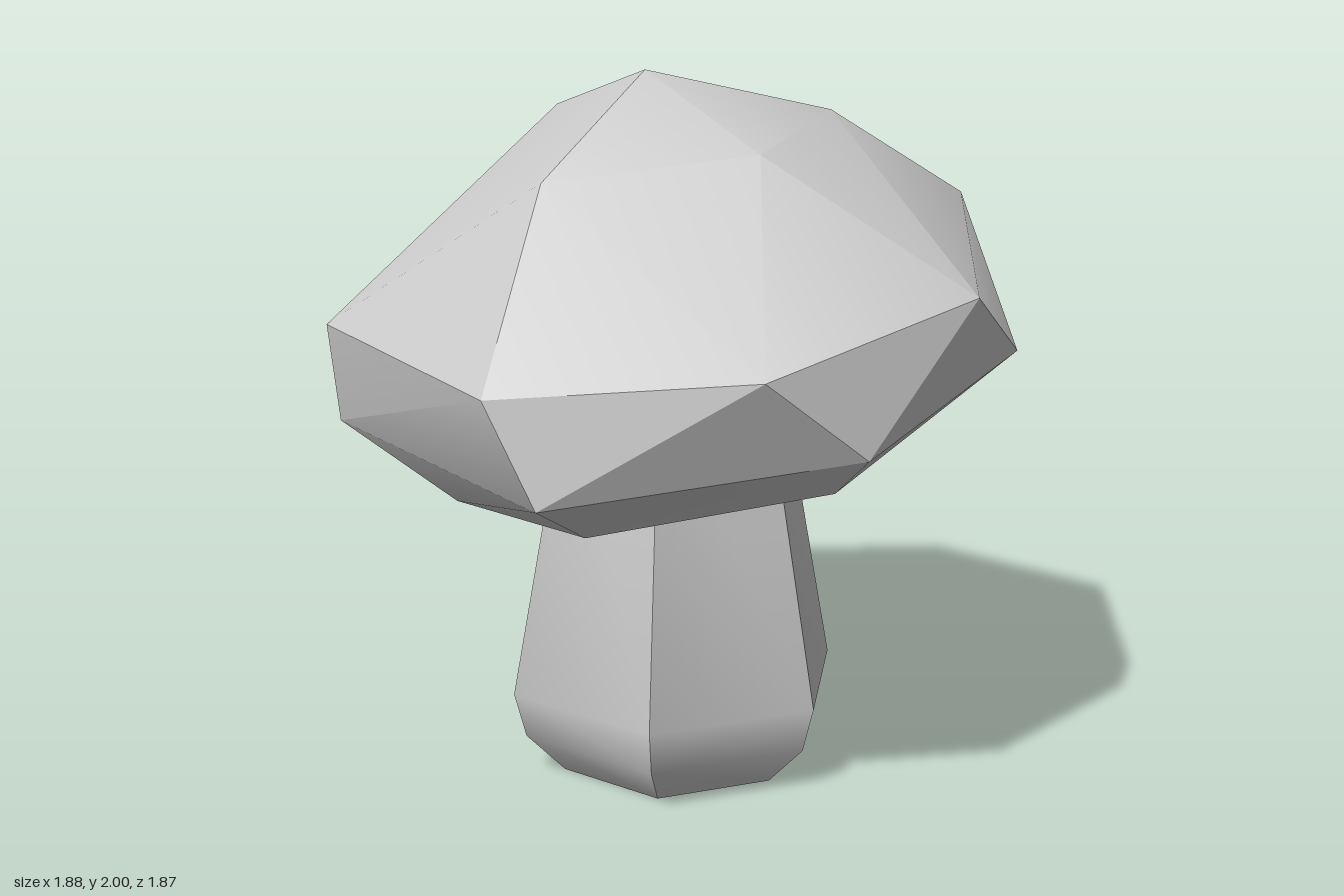
import * as THREE from 'three';
import { toCreasedNormals } from 'three/addons/utils/BufferGeometryUtils.js';
import { ConvexGeometry } from 'three/addons/geometries/ConvexGeometry.js';

const CREASE = THREE.MathUtils.degToRad(31);

// Rings of the tilted cap lean up towards +x: y = base + slope * x
const ring = (base, slope, points) =>
  points.map(([x, z]) => new THREE.Vector3(x, base + slope * x, z));

export function createModel() {
  const model = new THREE.Group();
  model.name = 'mushroom';
  const grey = new THREE.MeshStandardMaterial({ color: 0xcccccc });
  grey.name = 'plain grey';

  const add = (name, geometry) => {
    const mesh = new THREE.Mesh(toCreasedNormals(geometry, CREASE), grey);
    mesh.name = name;
    model.add(mesh);
  };

  // Six-sided stalk with a bevelled foot; its top ends inside the cap
  const profile = [[0, 0], [0.34, 0], [0.455, 0.12], [0.49, 0.25], [0.31, 1.2], [0, 1.2]];
  add('stalk', new THREE.LatheGeometry(profile.map(([r, y]) => new THREE.Vector2(r, y)), 6));

  // Faceted cap: crown, zigzag rim of two rings, and flat underside
  const crown = [
    [-0.13, 2.0, 0], [-0.58, 1.75, 0.02], [0.03, 1.86, -0.45],
    [0.27, 1.88, 0.33], [0.37, 1.885, 0], [-0.22, 1.82, 0.45],
  ].map((p) => new THREE.Vector3(...p));
  const upperRim = ring(1.445, 0.19, [
    [-0.94, 0.13], [-0.59, 0.74], [0.08, 0.93], [0.8, 0.43],
    [0.84, -0.28], [0.49, -0.76], [-0.04, -0.92], [-0.7, -0.66],
  ]);
  const lowerRim = ring(1.155, 0.185, [
    [-0.89, 0.26], [-0.31, 0.86], [0.46, 0.83], [0.94, 0.12],
    [0.74, -0.57], [0.1, -0.94], [-0.66, -0.66],
  ]);
  const underside = ring(0.968, 0.188, [
    [-0.15, 0.65], [0.33, 0.62], [0.7, 0.18], [0.7, -0.32],
    [0, -0.7], [-0.6, -0.28], [-0.63, 0.2],
  ]);
  add('cap', new ConvexGeometry([...crown, ...upperRim, ...lowerRim, ...underside]));

  return model;
}
